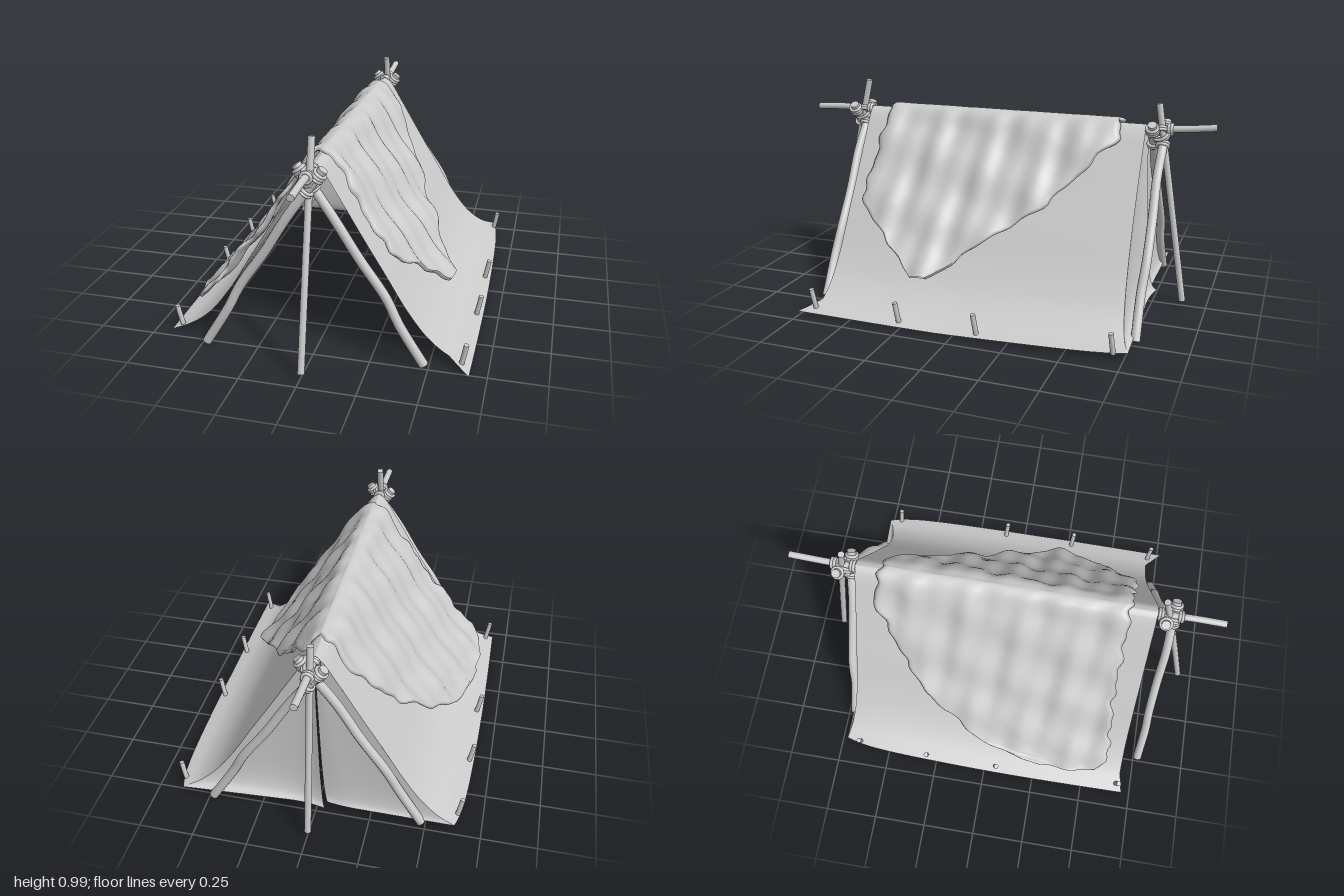
import * as THREE from 'three';
import { mergeGeometries } from 'three/addons/utils/BufferGeometryUtils.js';

const V = (x, y, z = 0) => new THREE.Vector3(x, y, z);
const mat = new THREE.MeshStandardMaterial({ color: 0xcccccc, side: THREE.DoubleSide });

function part(name, geometry) {
  const m = new THREE.Mesh(geometry, mat);
  m.name = name;
  return m;
}

// surface from a rule f(u, v) -> Vector3; loopV closes the v direction
function surface(nu, nv, f, loopV = false) {
  const pos = [], idx = [], row = loopV ? nv : nv + 1;
  for (let i = 0; i <= nu; i++)
    for (let j = 0; j < row; j++) pos.push(...f(i / nu, j / nv).toArray());
  for (let i = 0; i < nu; i++)
    for (let j = 0; j < nv; j++) {
      const k = (j + 1) % row;
      const a = i * row + j, b = i * row + k, c = a + row, d = b + row;
      idx.push(a, b, c, b, d, c);
    }
  const g = new THREE.BufferGeometry();
  g.setAttribute('position', new THREE.Float32BufferAttribute(pos, 3));
  g.setIndex(idx);
  g.computeVertexNormals();
  return g;
}

// round wooden pole with closed ends along a bent path
function pole(points, r) {
  const curve = new THREE.CatmullRomCurve3(points);
  const cap = (t, sign) => {
    const p = curve.getPointAt(t), d = curve.getTangentAt(t).multiplyScalar(sign);
    const g = new THREE.CircleGeometry(r, 12);
    g.applyQuaternion(new THREE.Quaternion().setFromUnitVectors(V(0, 0, 1), d));
    return g.translate(p.x, p.y, p.z);
  };
  return mergeGeometries([new THREE.TubeGeometry(curve, 28, r, 12), cap(0, -1), cap(1, 1)]);
}

// n rope turns around an axis
function wraps(center, axis, R, n) {
  const dir = axis.clone().normalize(), list = [];
  const q = new THREE.Quaternion().setFromUnitVectors(V(0, 0, 1), dir);
  for (let i = 0; i < n; i++) {
    const p = center.clone().addScaledVector(dir, (i - (n - 1) / 2) * 0.013);
    list.push(new THREE.TorusGeometry(R, 0.0075, 8, 20).applyQuaternion(q).translate(p.x, p.y, p.z));
  }
  return mergeGeometries(list);
}

// piecewise linear lookup
function lookup(table, x) {
  let i = 1;
  while (i < table.length - 1 && x > table[i][0]) i++;
  const [x0, y0] = table[i - 1], [x1, y1] = table[i];
  return THREE.MathUtils.lerp(y0, y1, THREE.MathUtils.clamp((x - x0) / (x1 - x0), 0, 1));
}

// slope of the canvas from the ridge out to the ground hem
const slope = new THREE.CatmullRomCurve3([
  V(0, 0.862), V(0.03, 0.845), V(0.1, 0.735), V(0.2, 0.565), V(0.3, 0.4),
  V(0.4, 0.235), V(0.49, 0.12), V(0.58, 0.05), V(0.675, 0.012)]);
const backZ = (t, side) => -0.69 - (side > 0 ? 0.075 : 0.035) * t ** 4;

function canvasPoint(s, v) {
  const side = s < 0 ? -1 : 1, t = Math.abs(s), p = slope.getPoint(t);
  const tip = Math.max(0, (t - 0.88) / 0.12) * (side > 0 ? 0.08 : 0.02);
  const z = THREE.MathUtils.lerp(0.69 + tip, backZ(t, side), v);
  const hem = t ** 6;
  const x = p.x + hem * (0.012 * Math.sin(Math.PI * v) - 0.015 * v - 0.03 * v ** 16);
  const y = p.y + hem * 0.022 * Math.max(0, v - 0.45) / 0.55;
  return V(side * x, y, z);
}

// back wall half: from the canvas edge to the centre slit
function wallPoint(side, t, k) {
  const a = canvasPoint(side * t, 1);
  const slit = V(-0.045 * t * t, THREE.MathUtils.lerp(0.862, side > 0 ? 0.045 : 0.028, 1 - (0.862 - a.y < 0 ? 1 : (a.y - 0.03) / 0.832)),
    -0.69 - 0.04 * t ** 4 + side * -0.008 * t);
  const p = a.lerp(slit, k);
  p.z += 0.03 * t * Math.sin(Math.PI * k) * (1 - t ** 4) * (0.6 + 0.4 * side);
  p.z += (side > 0 ? -0.025 : 0.012) * t * Math.max(0, (k - 0.75) / 0.25) ** 2;
  return p;
}

// draped blanket: outline limits in z for each x, and its height over the canvas
const frontHem = [[-0.62, 0.44], [-0.6, 0.55], [-0.56, 0.61], [-0.3, 0.575], [0, 0.57],
  [0.3, 0.62], [0.36, 0.54], [0.45, 0.38], [0.54, 0.25]];
const backHem = [[-0.62, 0.3], [-0.6, 0.16], [-0.56, -0.03], [-0.42, -0.3], [-0.31, -0.43],
  [-0.12, -0.6], [0, -0.57], [0.08, -0.58], [0.27, -0.3], [0.4, -0.03], [0.54, 0.22]];
const drape = new THREE.CatmullRomCurve3([V(0, 0.88), V(0.04, 0.86), V(0.1, 0.775), V(0.2, 0.625),
  V(0.3, 0.475), V(0.4, 0.345), V(0.5, 0.215), V(0.63, 0.085)]);

function blanketPoint(u, v) {
  const s = THREE.MathUtils.lerp(-0.985, 0.885, u), t = Math.abs(s), side = Math.sign(s) || 1;
  const p = drape.getPoint(t), d = drape.getTangent(t);
  const x = side * p.x, top = v < 0.5;
  const w = top ? v * 2 : 2 - v * 2;
  const jag = 0.007 * Math.sin(x * 61) + 0.006 * Math.sin(x * 103 + 1);
  const z = THREE.MathUtils.lerp(lookup(backHem, x) + jag, lookup(frontHem, x) + jag, w);
  const fold = 0.007 * Math.sin(z * 26 + x * 5) + 0.005 * Math.sin(z * 47 - x * 9 + 2)
    + 0.006 * Math.sin(x * 38 + z * 6);
  const off = fold * Math.min(1, t * 4) + (top ? 0.008 : -0.01) * (w > 0 && w < 1 ? 1 : 0);
  return V(x - side * d.y * off, p.y + d.x * off, z);
}

export function createModel() {
  const root = new THREE.Group();
  root.name = 'tent';

  // canvas cover and closed back
  root.add(part('canvas', surface(96, 40, (u, v) => canvasPoint(u * 2 - 1, v))));
  root.add(part('backFlapLeft', surface(36, 28, (t, k) => wallPoint(1, t, k))));
  root.add(part('backFlapRight', surface(36, 28, (t, k) => wallPoint(-1, t, k))));
  root.add(part('blanket', surface(110, 140, blanketPoint, true)));

  // ridge pole
  root.add(part('ridgePole', pole([V(0, 0.84, 1), V(0, 0.848, 0.85), V(0, 0.842, 0.7), V(0, 0.842, 0),
    V(0, 0.842, -0.7), V(0, 0.85, -0.85), V(0, 0.866, -1)], 0.016)));

  // crossed legs, leaning props and rope at both ends
  const legPath = [[0.48, 0.017], [0.37, 0.2], [0.315, 0.31], [0.2, 0.48], [0.1, 0.645], [0, 0.79], [-0.062, 0.873]];
  const ends = [
    { name: 'front', legZ: { '-1': 0.77, 1: 0.732 }, prop: [V(0, 0.025, 0.93), V(0, 0.5, 0.825), V(0, 0.99, 0.71)], z: 0.75 },
    { name: 'back', legZ: { '-1': -0.72, 1: -0.765 }, prop: [V(0, 0.03, -0.89), V(0, 0.5, -0.815), V(0, 0.96, -0.74)], z: -0.75 }];
  for (const e of ends) {
    const ropes = new THREE.Group();
    ropes.name = e.name + 'Lashing';
    for (const side of [-1, 1]) {
      const z = e.legZ[side];
      root.add(part(e.name + (side > 0 ? 'LegLeft' : 'LegRight'),
        pole(legPath.map(([x, y], i) => V(side * x, y, z + 0.004 * Math.sin(i * 2))), 0.021)));
      const axis = V(-side * 0.6, 0.8, 0);
      ropes.add(part('legRope', wraps(V(-side * 0.042, 0.845, z), axis, 0.025, 3)));
      ropes.add(part('legRope', wraps(V(side * 0.01, 0.775, z), axis, 0.026, 2)));
      ropes.add(part('crossRope', wraps(V(0, 0.825, e.z), V(side * 0.7, 0.7, 0.25), 0.042, 2)));
      ropes.add(part('ridgeRope', wraps(V(0, 0.845, e.z + side * 0.045), V(0, 0, 1), 0.022, 2)));
    }
    root.add(ropes);
    root.add(part(e.name + 'Prop', pole(e.prop, 0.0155)));
  }

  // ground pegs along both hems
  const pegs = { '-1': [-0.65, -0.3, 0.06, 0.68], 1: [-0.7, -0.1, 0.27, 0.7] };
  for (const side of [-1, 1])
    for (const z of pegs[side]) {
      const x = Math.abs(z) > 0.6 ? 0.635 : 0.65;
      root.add(part('peg', pole([V(side * x, 0.025, z - 0.004), V(side * (x + 0.01), 0.075, z), V(side * (x + 0.018), 0.122, z + 0.004)], 0.0115)));
    }
  return root;
}
